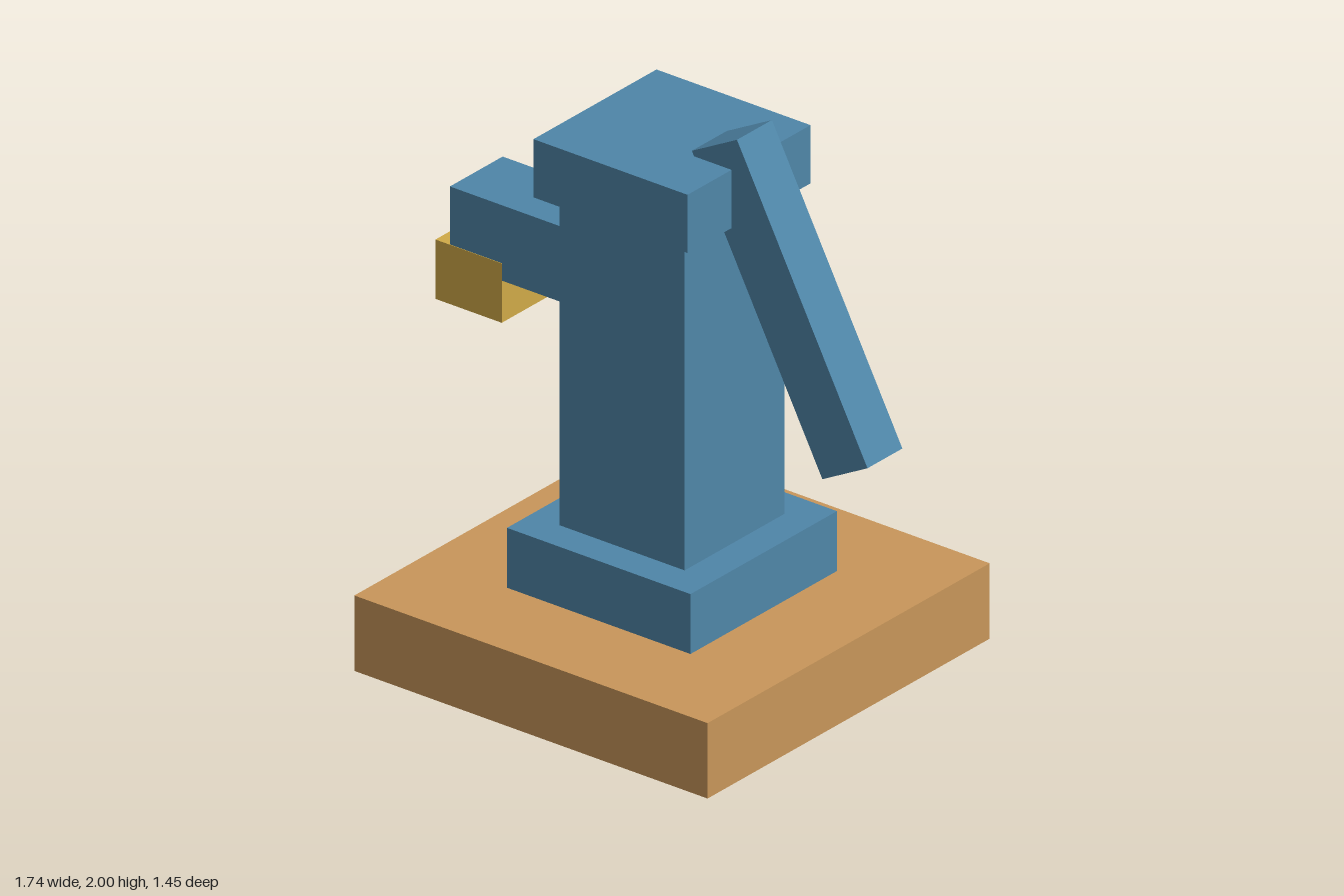
import * as THREE from 'three';

export function createModel() {
  const model = new THREE.Group();
  model.name = 'handPump';

  const paint = (name, color) => {
    const m = new THREE.MeshStandardMaterial({ color });
    m.name = name;
    return m;
  };
  const blue = paint('blue metal', 0x4f86a8);
  const wood = paint('wood', 0xc8965a);
  const brass = paint('brass', 0xd0aa48);

  // Box given by its centre and size
  const box = (name, material, [x, y, z], [w, h, d]) => {
    const mesh = new THREE.Mesh(new THREE.BoxGeometry(w, h, d), material);
    mesh.name = name;
    mesh.position.set(x, y, z);
    model.add(mesh);
    return mesh;
  };

  // Pump body, stacked from the ground up
  box('base', wood, [-0.01, 0.136, 0], [1.454, 0.272, 1.454]);
  box('plinth', blue, [-0.01, 0.38, 0], [0.755, 0.216, 0.755]);
  box('column', blue, [-0.01, 1.082, 0], [0.515, 1.188, 0.515]);
  box('cap', blue, [-0.01, 1.78, 0], [0.634, 0.21, 0.634]);

  // Spout with its outlet, a hair forward to keep the faces apart
  box('spout', blue, [-0.508, 1.352, 0], [0.615, 0.272, 0.272]);
  box('outlet', brass, [-0.737, 1.172, 0.002], [0.273, 0.214, 0.272]);

  // Slanted pump handle passing through the cap
  const handle = box('handle', blue, [0.505, 1.444, 0], [0.21, 1.148, 0.18]);
  handle.rotation.z = THREE.MathUtils.degToRad(27.9);

  return model;
}
